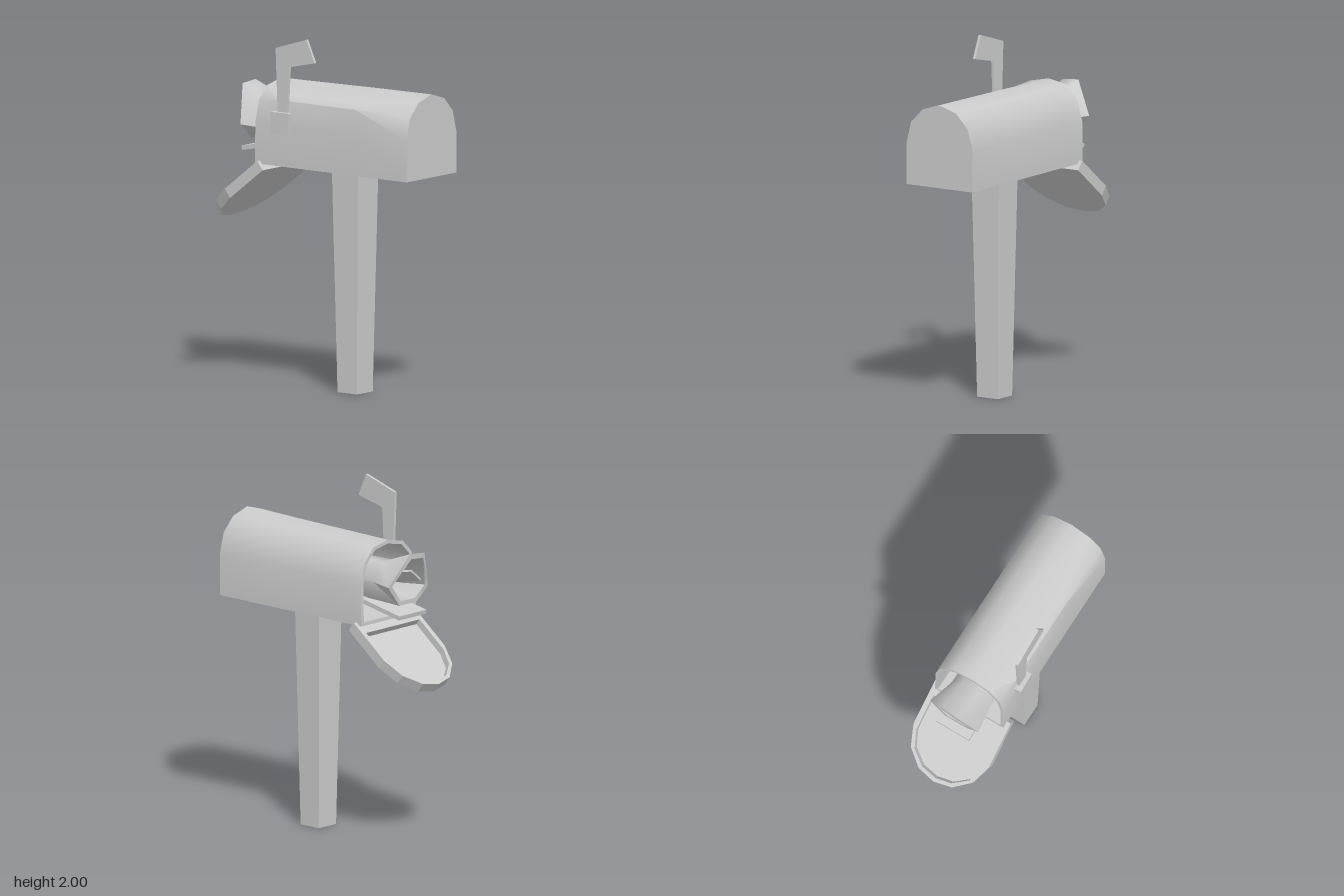
import * as THREE from 'three';
import { toCreasedNormals } from 'three/addons/utils/BufferGeometryUtils.js';

const V = (x, y, z) => new THREE.Vector3(x, y, z);

// Skins a list of equal-length rings and closes both ends
function loft(rings, crease) {
  const pos = [];
  const tri = (...pts) => pts.forEach((p) => pos.push(p.x, p.y, p.z));
  const n = rings[0].length;
  const mid = (r) => r.reduce((s, p) => s.add(p), V(0, 0, 0)).divideScalar(n);
  const first = rings[0], last = rings[rings.length - 1];
  const c0 = mid(first), c1 = mid(last);
  for (let j = 0; j < n; j++) {
    const k = (j + 1) % n;
    for (let i = 0; i < rings.length - 1; i++) {
      const a = rings[i], b = rings[i + 1];
      tri(a[j], a[k], b[k]);
      tri(a[j], b[k], b[j]);
    }
    tri(c0, first[k], first[j]);
    tri(c1, last[j], last[k]);
  }
  const g = new THREE.BufferGeometry();
  g.setAttribute('position', new THREE.Float32BufferAttribute(pos, 3));
  return toCreasedNormals(g, crease);
}

// Cross-section of the box at x; bulge pushes out the front shoulder, s shrinks it for the inside
function archRing(x, top, bulge = 0, s = 1, lean = 0) {
  const section = [
    [0.222, 1.265], [0.222, 1.5], [0.192 + 0.012 * bulge, 1.62 + 0.015 * bulge],
    [0.115 + 0.055 * bulge, 1.7 - 0.035 * bulge], [0, top],
    [-0.115, 1.7], [-0.192, 1.62], [-0.225, 1.5], [-0.225, 1.265],
  ];
  return section.map(([z, y]) => V(x + lean * (y - 1.265), 1.49 + (y - 1.49) * s, z * s));
}

// Arched door outline: u runs from hinge to tip
function doorOutline(target, u0, half, tip) {
  const k = (tip - u0) / 0.525;
  const side = [[0, 1], [0.29, 1], [0.415, 0.82], [0.5, 0.44], [0.525, 0]];
  const pts = side.map(([u, v]) => new THREE.Vector2(u0 + u * k, -v * half));
  const back = side.slice(0, -1).reverse().map(([u, v]) => new THREE.Vector2(u0 + u * k, v * half));
  return target.setFromPoints([...pts, ...back]);
}

export function createModel() {
  const model = new THREE.Group();
  const grey = new THREE.MeshStandardMaterial({ color: 0xcccccc });
  grey.name = 'plain grey';
  const add = (name, geometry, parent = model) => {
    const mesh = new THREE.Mesh(geometry, grey);
    mesh.name = name;
    parent.add(mesh);
    return mesh;
  };

  // Hollow box, open at the door end
  add('mailboxBody', loft([
    archRing(0.725, 1.735),
    archRing(0.35, 1.732, 1),
    archRing(-0.2, 1.724, 1),
    archRing(-0.355, 1.72, 0.15, 1, 0.02),
    archRing(-0.355, 1.72, 0.15, 0.91, 0.02),
    archRing(0.7, 1.73, 0, 0.91),
  ], 0.7));

  // Tapered post
  const postGeo = new THREE.BoxGeometry(1, 1.272, 1).translate(0, 0.636, 0);
  const p = postGeo.attributes.position;
  for (let i = 0; i < p.count; i++) {
    const high = p.getY(i) > 0.6;
    p.setX(i, 0.183 + p.getX(i) * (high ? 0.185 : 0.138));
    p.setZ(i, p.getZ(i) * (high ? 0.185 : 0.142));
  }
  postGeo.computeVertexNormals();
  add('post', postGeo);

  // Open door: a flat panel with a raised rim, hanging from the hinge
  const door = new THREE.Group();
  door.name = 'door';
  model.add(door);
  const panel = doorOutline(new THREE.Shape(), 0, 0.247, 0.53);
  const rim = doorOutline(new THREE.Shape(), 0, 0.247, 0.53);
  rim.holes.push(doorOutline(new THREE.Path(), 0.085, 0.218, 0.505));
  add('doorPanel', new THREE.ExtrudeGeometry(panel, { depth: 0.022, bevelEnabled: false }), door);
  add('doorRim', new THREE.ExtrudeGeometry(rim, { depth: 0.04, bevelEnabled: false })
    .translate(0, 0, 0.022), door);
  const along = V(-0.79, -0.613, 0).normalize();
  const up = V(along.y, -along.x, 0);
  door.applyMatrix4(new THREE.Matrix4().makeBasis(along, V(0, 0, 1), up).setPosition(-0.28, 1.235, 0));

  // Signal flag and its mounting block
  const flag = new THREE.Shape([
    [-0.19, 1.56], [-0.123, 1.56], [-0.108, 1.832], [0.072, 1.872], [0.015, 2], [-0.205, 1.932],
  ].map(([x, y]) => new THREE.Vector2(x, y)));
  add('flag', new THREE.ExtrudeGeometry(flag, { depth: 0.016, bevelEnabled: false })
    .translate(0, 0, 0.209));
  const block = add('flagBlock', new THREE.BoxGeometry(0.125, 0.122, 0.045));
  block.position.set(-0.158, 1.512, 0.228);
  block.rotation.y = 0.05;

  // Rolled paper flaring out of the opening
  const mouth = [
    V(-0.5, 1.38, 0.07), V(-0.51, 1.46, 0.155), V(-0.57, 1.675, 0.06),
    V(-0.565, 1.685, -0.05), V(-0.505, 1.5, -0.165), V(-0.5, 1.38, -0.07),
  ];
  const neck = [
    V(-0.35, 1.385, 0.07), V(-0.35, 1.45, 0.13), V(-0.35, 1.595, 0.06),
    V(-0.35, 1.605, -0.05), V(-0.35, 1.5, -0.12), V(-0.35, 1.385, -0.07),
  ];
  const shrink = (ring, s, dx = 0) => {
    const c = ring.reduce((a, q) => a.add(q), V(0, 0, 0)).divideScalar(ring.length);
    return ring.map((q) => V(q.x + dx, c.y + (q.y - c.y) * s, c.z + (q.z - c.z) * s));
  };
  add('rolledPaper', loft([
    shrink(neck, 0.95, 0.3), neck, mouth, shrink(mouth, 0.82), shrink(neck, 0.82), shrink(neck, 0.78, 0.28),
  ], 1.1));

  // Inner fold of the roll
  const fold = add('paperFold', new THREE.BoxGeometry(0.3, 0.012, 0.1));
  fold.position.set(-0.37, 1.51, 0.025);
  fold.rotation.set(0.7, 0, -0.25);

  // Letter lying below the roll
  const letter = add('letter', new THREE.BoxGeometry(0.42, 0.025, 0.22));
  letter.position.set(-0.33, 1.36, 0);
  letter.rotation.z = 0.19;

  return model;
}
